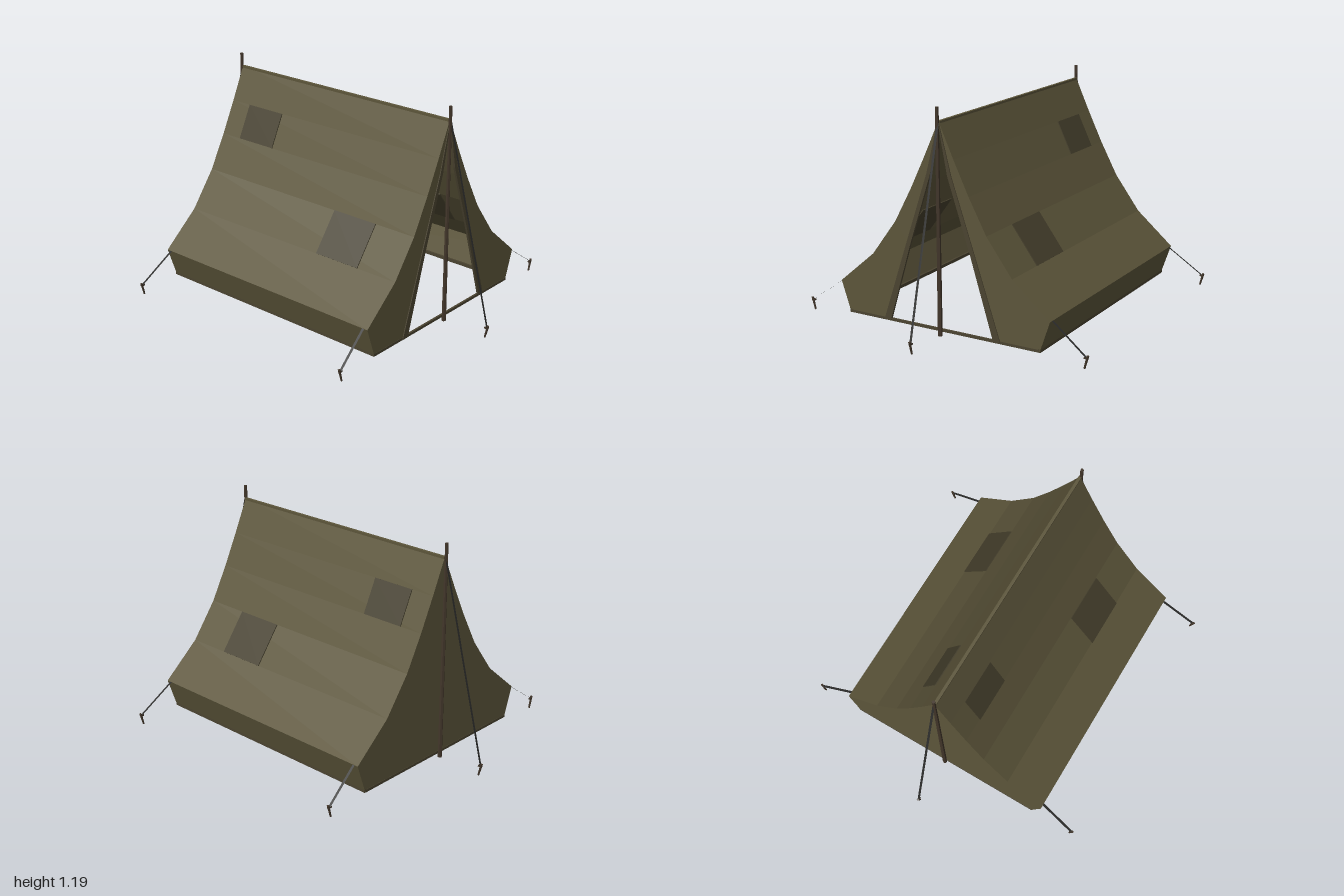
import * as THREE from 'three';

const mat = (color) => new THREE.MeshStandardMaterial({ color, flatShading: true, side: THREE.DoubleSide });
const canvas = mat(0x5c553a), patchCloth = mat(0x453f2c), trim = mat(0x4a4330);
const wood = mat(0x42362a), cord = mat(0x2b2b2a);

const HALF = 0.718; // half length of the tent
// right half of the cross-section, from ridge to hem
const PROFILE = [[0, 1.12], [0.085, 0.935], [0.17, 0.76], [0.27, 0.575], [0.415, 0.38], [0.626, 0.2], [0.57, 0.035]];
const OUTLINE = [...PROFILE.slice(1).reverse().map(([x, y]) => [-x, y]), ...PROFILE];

function add(parent, name, geometry, material) {
  const mesh = new THREE.Mesh(geometry, material);
  mesh.name = name;
  parent.add(mesh);
  return mesh;
}

const shapeOf = (points) => new THREE.Shape(points.map(([x, y]) => new THREE.Vector2(x, y)));

function box(parent, name, w, h, d, x, y, z, material) {
  const mesh = add(parent, name, new THREE.BoxGeometry(w, h, d), material);
  mesh.position.set(x, y, z);
  return mesh;
}

// Flat cord from a to b, its width lying level
function rope(parent, name, a, b) {
  const start = new THREE.Vector3(...a), end = new THREE.Vector3(...b);
  const along = end.clone().sub(start);
  const mesh = add(parent, name, new THREE.PlaneGeometry(0.013, along.length()), cord);
  along.normalize();
  const across = new THREE.Vector3(along.z, 0, -along.x).normalize();
  const normal = across.clone().cross(along);
  mesh.quaternion.setFromRotationMatrix(new THREE.Matrix4().makeBasis(across, along, normal));
  mesh.position.copy(start).add(end).multiplyScalar(0.5);
}

// Peg whose top leans outward along its local +z
function peg(parent, x, z, angle) {
  const group = new THREE.Group();
  group.name = 'peg';
  const shaft = add(group, 'pegShaft', new THREE.CylinderGeometry(0.007, 0.005, 0.07, 5), wood);
  shaft.position.set(0, 0.035, 0.008);
  shaft.rotation.x = 0.26;
  box(group, 'pegHook', 0.012, 0.008, 0.02, 0, 0.056, 0.007, wood);
  group.position.set(x, 0, z);
  group.rotation.y = angle;
  parent.add(group);
}

export function createModel() {
  const tent = new THREE.Group();
  tent.name = 'tent';

  // Roof and low side walls: one sheet bent along the outline
  const sheet = new THREE.PlaneGeometry(1, 1, OUTLINE.length - 1, 1);
  const pos = sheet.attributes.position;
  for (let i = 0; i < pos.count; i++) {
    const [x, y] = OUTLINE[i % OUTLINE.length];
    pos.setXYZ(i, x, y, i < OUTLINE.length ? -HALF : HALF);
  }
  sheet.computeVertexNormals();
  add(tent, 'roofAndWalls', sheet, canvas);
  box(tent, 'ridgeSeam', 0.016, 0.012, HALF * 2, 0, 1.114, 0, canvas);

  // Closed back
  add(tent, 'backPanel', new THREE.ShapeGeometry(shapeOf(OUTLINE)), canvas).position.z = -HALF;

  // Front flaps with a folded edge beside the doorway
  const inner = [[0.31, 0.035], [0.18, 0.46], [0.05, 0.85], [0, 1.11]];
  const outer = [[0.35, 0.035], [0.206, 0.46], [0.072, 0.85], [0.004, 1.11]];
  for (const s of [1, -1]) {
    const flip = (pts) => pts.map(([x, y]) => [s * x, y]);
    add(tent, 'frontFlap', new THREE.ShapeGeometry(shapeOf(flip([...PROFILE, ...inner]))), canvas).position.z = HALF;
    const fold = new THREE.ExtrudeGeometry(shapeOf(flip([...inner, ...outer.slice().reverse()])), { depth: 0.012, bevelEnabled: false });
    add(tent, 'flapFold', fold, trim).position.z = HALF - 0.007;

    // Hem along the side wall
    box(tent, 'sideHem', 0.012, 0.018, HALF * 2, s * 0.568, 0.041, 0, trim);

    // Patches lying on two of the roof facets, [facet, z centre, length]
    for (const [k, z, length] of [[3, 0.337, 0.275], [1, -0.463, 0.245]]) {
      const [x0, y0] = PROFILE[k], [x1, y1] = PROFILE[k + 1];
      const size = Math.hypot(x1 - x0, y1 - y0);
      const patch = box(tent, 'patch', size, 0.01, length, s * (x0 + x1) / 2, (y0 + y1) / 2, z, patchCloth);
      patch.rotation.z = s * Math.atan2(y1 - y0, x1 - x0);
    }
  }

  for (const e of [1, -1]) {
    // Upright pole, thicker toward its foot, and the end hem
    const pole = add(tent, 'pole', new THREE.CylinderGeometry(0.009, 0.0125, 1.18, 6), wood);
    pole.position.set(-0.004, 0.6, e * 0.723);
    box(tent, 'endHem', 1.14, 0.014, 0.012, 0, 0.04, e * (HALF - 0.004), trim);

    // Ridge guy line
    rope(tent, 'ridgeRope', [0, 1.11, e * 0.725], [0, 0.055, e * 0.993]);
    peg(tent, 0, e * 0.982, e > 0 ? 0 : Math.PI);

    // Corner guy lines
    for (const s of [1, -1]) {
      rope(tent, 'cornerRope', [s * 0.624, 0.2, e * 0.69], [s * 0.827, 0.055, e * 0.715]);
      peg(tent, s * 0.814, e * 0.714, s * Math.PI / 2);
    }
  }
  return tent;
}
